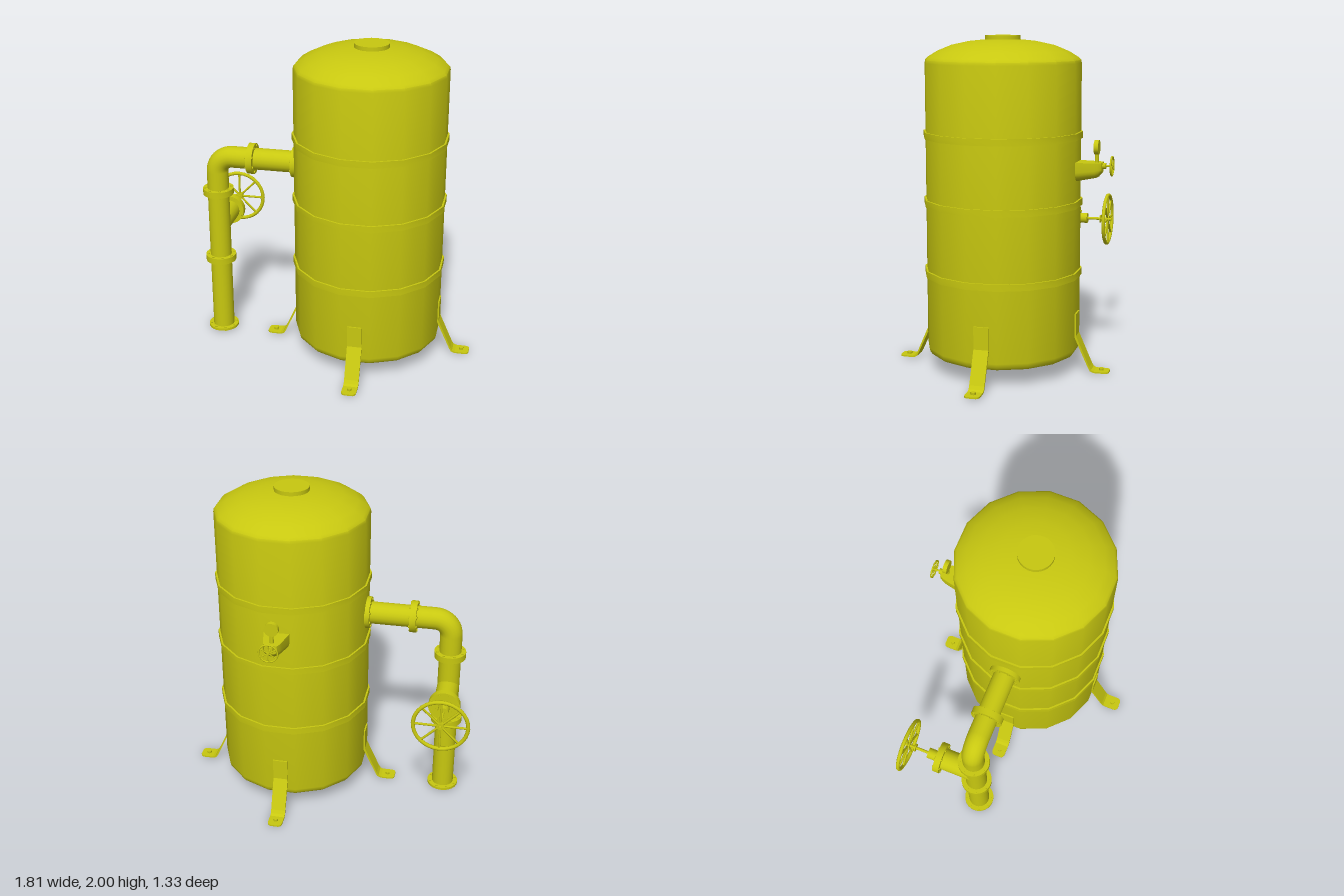
import * as THREE from 'three';
import { toCreasedNormals } from 'three/addons/utils/BufferGeometryUtils.js';

const paint = new THREE.MeshStandardMaterial({ color: 0xc8c810, side: THREE.DoubleSide });
const PIPE_X = -0.73, PIPE_R = 0.068, TANK_X = 0.245, TANK_Z = 0.004;

function add(parent, name, geo, x = 0, y = 0, z = 0) {
  const m = new THREE.Mesh(geo, paint);
  m.name = name;
  m.position.set(x, y, z);
  parent.add(m);
  return m;
}

function group(parent, name, x = 0, y = 0, z = 0) {
  const g = new THREE.Group();
  g.name = name;
  g.position.set(x, y, z);
  parent.add(g);
  return g;
}

const lathe = (pts, n) =>
  toCreasedNormals(new THREE.LatheGeometry(pts.map(p => new THREE.Vector2(...p)), n), 0.6);

const ring = (ri, ro, y0, y1, n) => lathe([[ri, y0], [ro, y0], [ro, y1], [ri, y1], [ri, y0]], n);

const rod = (r, h, n = 12, r2 = r) => new THREE.CylinderGeometry(r2, r, h, n);

// Flange ring with a circle of through bolts, axis along y
function flange(parent, name, x, y, z, thick = 0.04) {
  const g = group(parent, name, x, y, z);
  add(g, 'flangeRing', ring(0.056, 0.097, -thick / 2, thick / 2, 24));
  for (let i = 0; i < 8; i++) {
    const a = (i + 0.5) * Math.PI / 4;
    add(g, 'flangeBolt', rod(0.008, thick + 0.012, 6), 0.083 * Math.cos(a), 0, 0.083 * Math.sin(a));
  }
  return g;
}

// Spoked hand wheel facing z
function handWheel(parent, name, z, radius, tube, spokes) {
  const g = group(parent, name, 0, 0, z);
  add(g, 'rim', new THREE.TorusGeometry(radius - tube, tube, 8, 32));
  add(g, 'hub', rod(tube * 1.9, tube * 2, 12)).rotation.x = Math.PI / 2;
  for (let i = 0; i < spokes; i++) {
    const a = i * 2 * Math.PI / spokes, r = radius / 2 - tube / 2;
    add(g, 'spoke', rod(tube * 0.6, radius - tube, 6), -r * Math.sin(a), r * Math.cos(a), 0).rotation.z = a;
  }
  return g;
}

function buildTank(root) {
  const tank = group(root, 'tank', TANK_X, 0, TANK_Z);
  tank.rotation.y = Math.PI / 16;
  add(tank, 'tankShell', lathe([
    [0, 0.097], [0.42, 0.097], [0.445, 0.105], [0.459, 0.122], [0.464, 0.145],
    [0.464, 1.84], [0.46, 1.858], [0.445, 1.874], [0.39, 1.908], [0.305, 1.943], [0.2, 1.966], [0.1, 1.976], [0, 1.978],
  ], 16));
  add(tank, 'topLid', rod(0.105, 0.03, 24), 0, 1.985);
  for (const y of [0.595, 1.02, 1.42])
    add(tank, 'hoopBand', ring(0.455, 0.475, y - 0.02, y + 0.02, 16));
}

// Bent strap leg with a rounded, bolted foot
function buildLegs(root) {
  const strap = new THREE.Shape([
    [0.464, 0.36], [0.464, 0.226], [0.546, 0.04], [0.558, 0.021], [0.575, 0.013], [0.635, 0.013],
    [0.635, 0.004], [0.572, 0.004], [0.55, 0.014], [0.538, 0.035], [0.453, 0.22], [0.453, 0.36],
  ].map(p => new THREE.Vector2(...p)));
  const strapGeo = new THREE.ExtrudeGeometry(strap, { depth: 0.09, bevelEnabled: false });
  strapGeo.translate(0, 0, -0.045);

  const toe = new THREE.Shape();
  toe.moveTo(0.63, -0.045);
  toe.quadraticCurveTo(0.661, -0.045, 0.661, -0.018);
  toe.lineTo(0.661, 0.018);
  toe.quadraticCurveTo(0.661, 0.045, 0.63, 0.045);
  const toeGeo = new THREE.ExtrudeGeometry(toe, { depth: 0.009, bevelEnabled: false, curveSegments: 5 });
  toeGeo.rotateX(-Math.PI / 2).translate(0, 0.004, 0);

  for (let i = 0; i < 4; i++) {
    const leg = group(root, 'leg', TANK_X, 0, TANK_Z);
    leg.rotation.y = i * Math.PI / 2;
    add(leg, 'legStrap', strapGeo);
    add(leg, 'legToe', toeGeo);
    add(leg, 'footBolt', rod(0.015, 0.018, 6), 0.612, 0.018);
  }
}

function buildPipe(root) {
  const pipe = group(root, 'outletPipe');
  const bend = 0.1, top = 1.215;
  const tube = (h) => new THREE.CylinderGeometry(PIPE_R, PIPE_R, h, 20, 1, true);
  add(pipe, 'standPipe', tube(top - bend), PIPE_X, (top - bend) / 2);
  const x0 = PIPE_X + bend, x1 = -0.2;
  add(pipe, 'crossPipe', tube(x1 - x0), (x0 + x1) / 2, top).rotation.z = Math.PI / 2;
  const elbow = add(pipe, 'elbow', new THREE.TorusGeometry(bend, PIPE_R, 20, 10, Math.PI / 2), x0, top - bend);
  elbow.rotation.z = Math.PI / 2;

  flange(pipe, 'baseFlange', PIPE_X, 0.014, 0, 0.016);
  flange(pipe, 'lowerFlange', PIPE_X, 0.515, 0);
  flange(pipe, 'upperFlange', PIPE_X, 0.98, 0);
  flange(pipe, 'crossFlange', -0.5, top, 0).rotation.z = Math.PI / 2;
  flange(pipe, 'tankFlange', -0.222, top, 0, 0.03).rotation.z = Math.PI / 2;
}

// Branch valve on the back of the stand pipe
function buildValve(root) {
  const valve = group(root, 'valve', PIPE_X, 0.75, 0);
  const along = (name, r, z0, z1, n = 20) =>
    add(valve, name, rod(r, Math.abs(z1 - z0), n), 0, 0, (z0 + z1) / 2).rotation.x = Math.PI / 2;
  along('branchPipe', PIPE_R, 0, -0.248);
  flange(valve, 'branchFlange', 0, 0, -0.23).rotation.x = Math.PI / 2;
  along('bonnet', 0.034, -0.24, -0.315, 16);
  along('stem', 0.009, -0.3, -0.48, 10);
  along('stemCollar', 0.026, -0.4, -0.407, 12);
  handWheel(valve, 'valveWheel', -0.453, 0.175, 0.012, 8);
}

// Gauge bracket on the back of the tank with a dial and a small cock
function buildGauge(root) {
  const gauge = group(root, 'gaugeBracket', TANK_X, 1.27, 0);
  const u = new THREE.Shape();
  u.moveTo(-0.078, 0);
  u.lineTo(-0.078, -0.06);
  u.quadraticCurveTo(-0.07, -0.115, 0, -0.118);
  u.quadraticCurveTo(0.07, -0.115, 0.078, -0.06);
  u.lineTo(0.078, 0);
  const geo = new THREE.ExtrudeGeometry(u, { depth: 0.16, steps: 8, bevelEnabled: false, curveSegments: 6 });
  // Taper towards the tip and round it off underneath
  const p = geo.attributes.position;
  for (let i = 0; i < p.count; i++) {
    const t = p.getZ(i) / 0.16;
    const end = Math.max(0, t - 0.75) / 0.25;
    p.setXYZ(i, p.getX(i) * (1 - 0.42 * t - 0.1 * end * end),
      p.getY(i) * (1 - 0.28 * t - 0.22 * end * end), -0.44 - p.getZ(i));
  }
  // Restore outward winding after the mirror in z
  for (let i = 0; i < p.count; i += 3) {
    const a = [p.getX(i), p.getY(i), p.getZ(i)];
    p.setXYZ(i, p.getX(i + 1), p.getY(i + 1), p.getZ(i + 1));
    p.setXYZ(i + 1, ...a);
  }
  add(gauge, 'bracketBody', toCreasedNormals(geo, 0.6));

  add(gauge, 'gaugeStem', rod(0.012, 0.06, 10), 0, 0.025, -0.565);
  add(gauge, 'gaugeDial', rod(0.042, 0.026, 20), 0, 0.088, -0.565).rotation.x = Math.PI / 2;
  const cock = group(gauge, 'cock', 0, -0.02, 0);
  add(cock, 'cockNeck', rod(0.018, 0.03, 10), 0, 0, -0.605).rotation.x = Math.PI / 2;
  add(cock, 'cockStem', rod(0.007, 0.075, 8), 0, 0, -0.627).rotation.x = Math.PI / 2;
  handWheel(cock, 'cockWheel', -0.655, 0.06, 0.005, 6);
}

export function createModel() {
  const root = new THREE.Group();
  root.name = 'pressureTank';
  buildTank(root);
  buildLegs(root);
  buildPipe(root);
  buildValve(root);
  buildGauge(root);
  return root;
}
